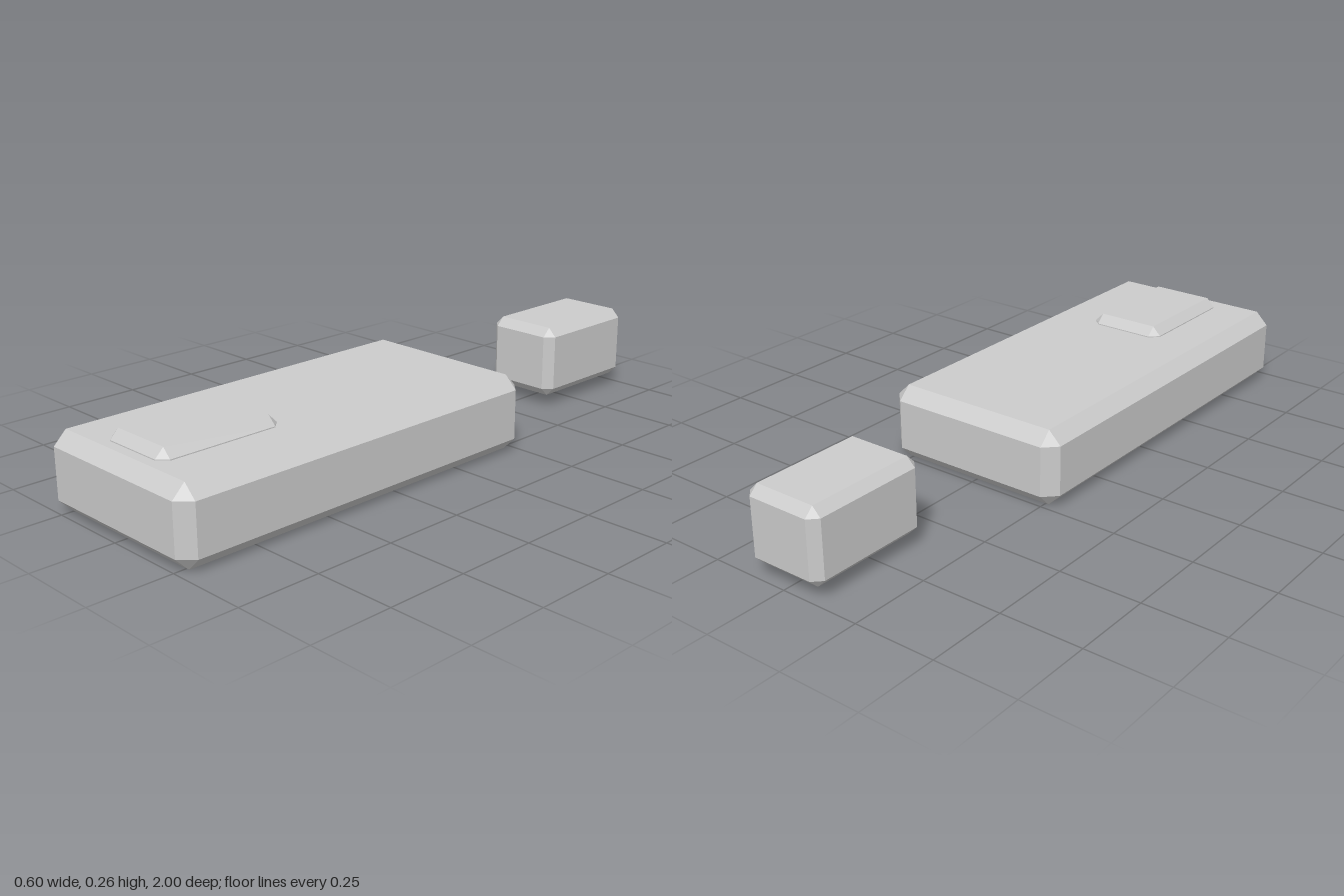
import * as THREE from 'three';
import { ConvexGeometry } from 'three/addons/geometries/ConvexGeometry.js';

// Box with bevelled edges and triangular corner facets
function bevelledBox(w, h, d, bevel) {
  const half = [w / 2, h / 2, d / 2];
  const points = [];
  for (const sx of [-1, 1]) for (const sy of [-1, 1]) for (const sz of [-1, 1]) {
    const signs = [sx, sy, sz];
    // Three points per corner, each lying on one main face
    for (let face = 0; face < 3; face++) {
      points.push(new THREE.Vector3(...signs.map((s, i) => s * (half[i] - (i === face ? 0 : bevel)))));
    }
  }
  return new ConvexGeometry(points);
}

export function createModel() {
  const group = new THREE.Group();
  group.name = 'bevelledBlocks';
  const grey = new THREE.MeshStandardMaterial({ color: 0xcccccc });
  grey.name = 'light grey';

  function add(name, geometry, y, z) {
    const mesh = new THREE.Mesh(geometry, grey);
    mesh.name = name;
    mesh.position.set(0, y, z);
    group.add(mesh);
  }

  // Long main body
  add('body', bevelledBox(0.6, 0.234, 1.265, 0.04), 0.117, 0.3675);

  // Two equal blocks: one sunk into the body, one standing apart behind it
  const block = bevelledBox(0.25, 0.23, 0.397, 0.027);
  add('raisedBlock', block, 0.149, 0.731);
  add('rearBlock', block, 0.149, -0.8015);

  return group;
}
